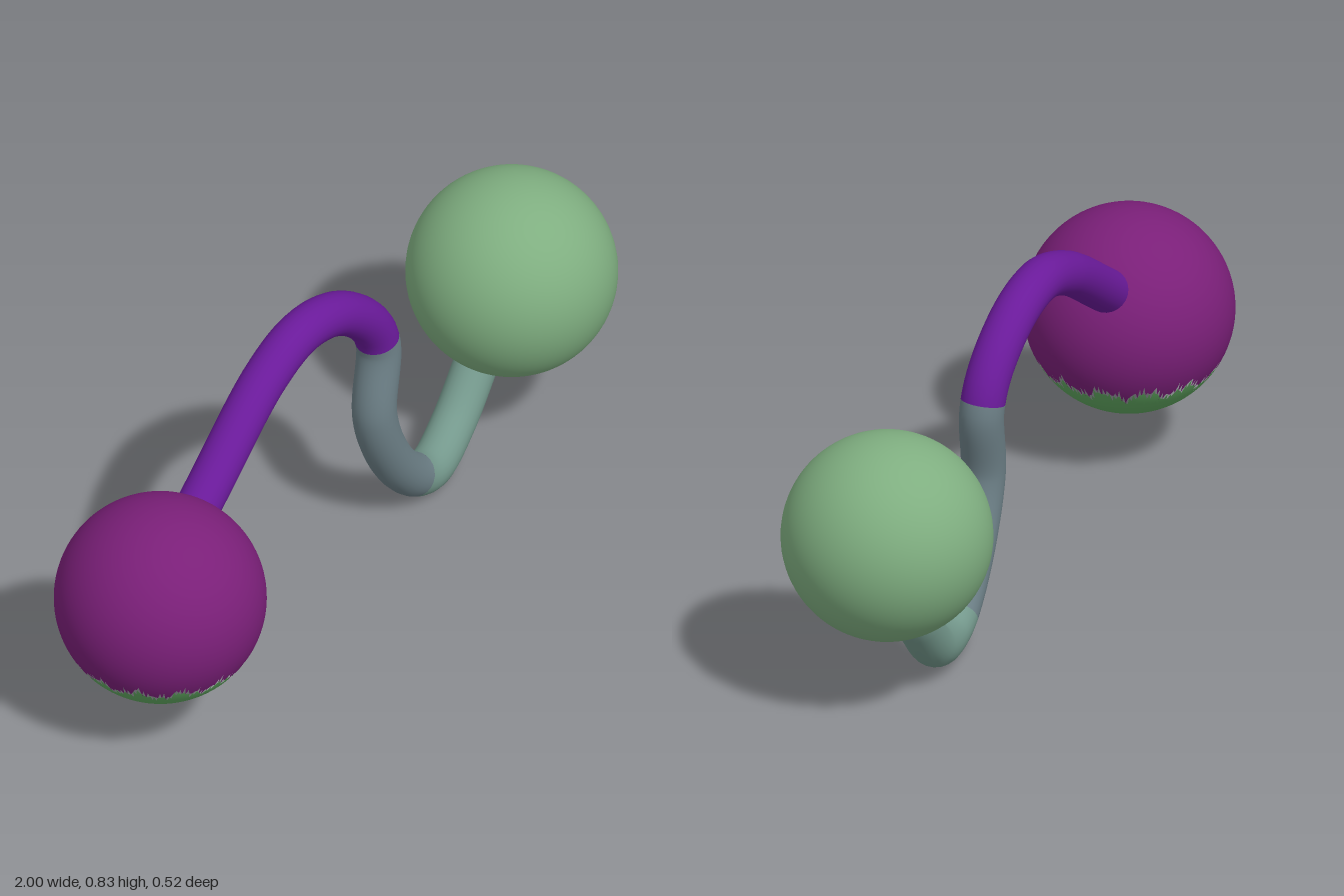
import * as THREE from 'three';

// A stretch of a longer path, from parameter a to b
class Stretch extends THREE.Curve {
  constructor(path, a, b) {
    super();
    Object.assign(this, { path, a, b });
  }
  getPoint(t, target = new THREE.Vector3()) {
    return this.path.getPoint(this.a + (this.b - this.a) * t, target);
  }
}

// Ragged border (polar angle) between the two colours of the right ball
const border = (phi) => 2.12 + 0.05 * Math.sin(13 * phi) + 0.05 * Math.sin(29 * phi + 1) + 0.03 * Math.sin(47 * phi);

// Ball patch above or below the ragged border
function ballPatch(radius, isCap) {
  const geo = new THREE.SphereGeometry(radius, 144, 32);
  const { position, normal, uv } = geo.attributes;
  const dir = new THREE.Vector3();
  for (let i = 0; i < position.count; i++) {
    const phi = Math.atan2(position.getZ(i), position.getX(i));
    const down = 1 - uv.getY(i);
    const angle = uv.getX(i) * Math.PI * 2;
    const edge = border(down === 0 || down === 1 ? angle : phi);
    const theta = isCap ? edge + (Math.PI - edge) * down : edge * down;
    dir.setFromSphericalCoords(1, theta, angle - Math.PI / 2);
    normal.setXYZ(i, dir.x, dir.y, dir.z);
    position.setXYZ(i, dir.x * radius, dir.y * radius, dir.z * radius);
  }
  return geo;
}

export function createModel() {
  const model = new THREE.Group();
  const add = (name, geometry, color, position = [0, 0, 0]) => {
    const mesh = new THREE.Mesh(geometry, new THREE.MeshStandardMaterial({ color }));
    mesh.name = name;
    mesh.position.set(...position);
    model.add(mesh);
  };

  // Balls at both ends
  const rightCentre = [-0.742, 0.405, 0.005];
  add('rightBall', ballPatch(0.258, false), 0x7a1f78, rightCentre);
  add('rightBallUnderside', ballPatch(0.258, true), 0x5fa55f, rightCentre);
  add('leftBall', new THREE.SphereGeometry(0.258, 64, 48), 0x7fae80, [0.742, 0.47, 0]);

  // S-shaped cord joining the balls
  const points = [
    [-0.64, 0.48, -0.02], [-0.5, 0.575, -0.025], [-0.24, 0.738, -0.04], [-0.09, 0.785, -0.04],
    [0.05, 0.757, -0.035], [0.17, 0.66, -0.025], [0.21, 0.57, -0.02], [0.18, 0.38, -0.01],
    [0.25, 0.2, -0.01], [0.355, 0.085, -0.015], [0.43, 0.061, -0.02], [0.56, 0.1, -0.045],
    [0.69, 0.22, -0.06], [0.75, 0.3, -0.06],
  ].map((p) => new THREE.Vector3(...p));
  const path = new THREE.CatmullRomCurve3(points);
  const last = points.length - 1;
  const cord = (name, from, to, color) =>
    add(name, new THREE.TubeGeometry(new Stretch(path, from / last, to / last), 48, 0.055, 24), color);
  cord('upperCord', 0, 5.8, 0x6a1a9a);
  cord('middleCord', 5.8, 9, 0x6c7f86);
  cord('lowerCord', 9, last, 0x74988c);

  return model;
}
